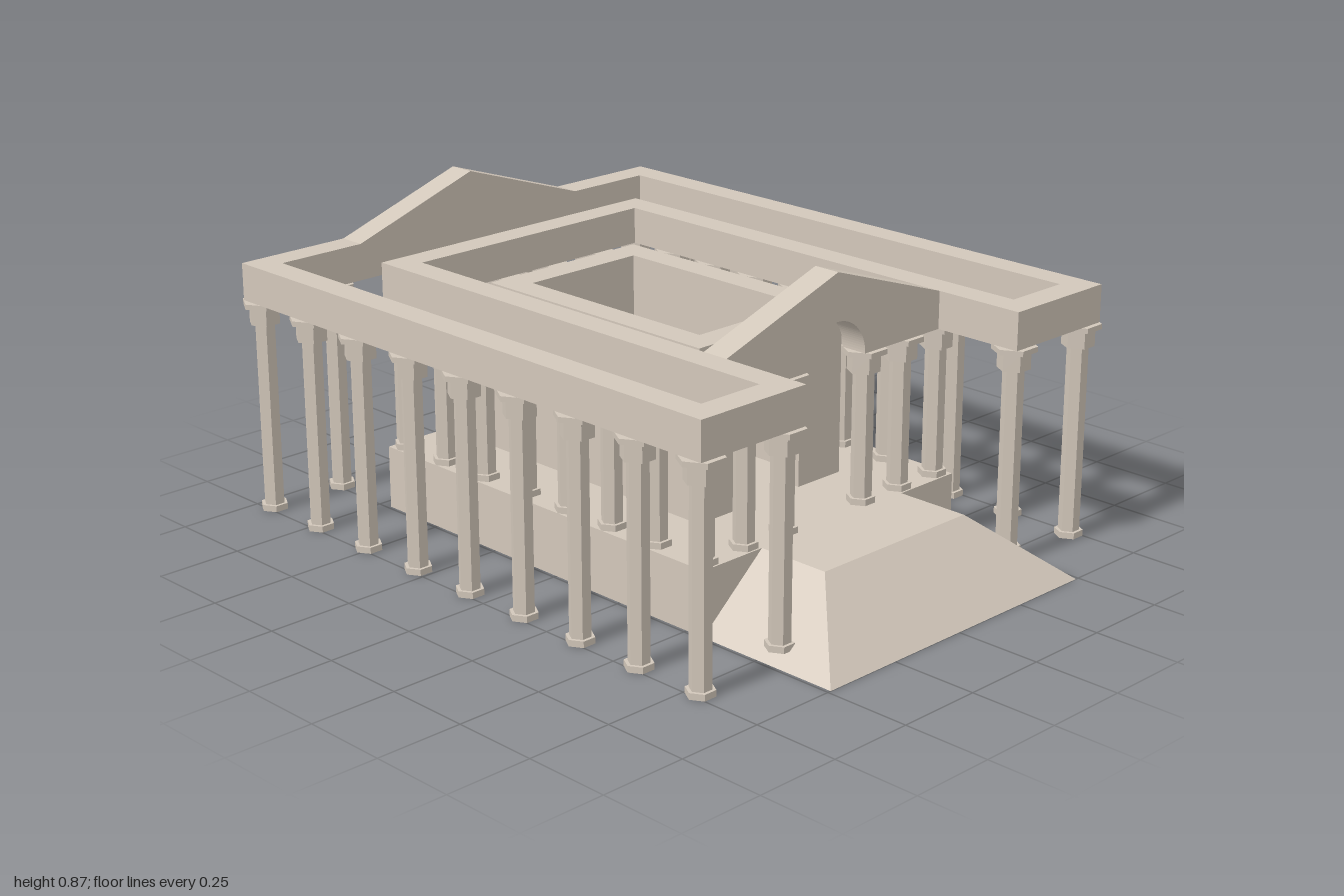
import * as THREE from 'three';
import { ConvexGeometry } from 'three/addons/geometries/ConvexGeometry.js';

const stone = new THREE.MeshStandardMaterial({ color: 0xd2c7ba, flatShading: true });
const FLOOR = 0.185, BEAM0 = 0.625, BEAM1 = 0.733;

export function createModel() {
  const model = new THREE.Group();
  model.name = 'temple';

  const add = (parent, name, geometry) => {
    const mesh = new THREE.Mesh(geometry, stone);
    mesh.name = name;
    parent.add(mesh);
    return mesh;
  };
  // Box given by its minimum and maximum on each axis
  const block = (name, x0, x1, y0, y1, z0, z1) =>
    add(model, name, new THREE.BoxGeometry(x1 - x0, y1 - y0, z1 - z0))
      .position.set((x0 + x1) / 2, (y0 + y1) / 2, (z0 + z1) / 2);
  // Upright slab: outline in x and y, extruded from z0 to z1
  const slab = (name, shape, z0, z1) =>
    add(model, name, new THREE.ExtrudeGeometry(shape, { depth: z1 - z0, bevelEnabled: false, curveSegments: 24 }))
      .position.z = z0;

  // Platform and hipped front ramp
  block('platform', -0.49, 0.49, 0, FLOOR, -0.71, 0.56);
  const rampPoints = [];
  for (const s of [-1, 1]) {
    rampPoints.push(
      new THREE.Vector3(s * 0.49, 0, 0.56), new THREE.Vector3(s * 0.49, 0, 1),
      new THREE.Vector3(s * 0.275, FLOOR, 0.56), new THREE.Vector3(s * 0.275, FLOOR, 0.78));
  }
  add(model, 'frontRamp', new ConvexGeometry(rampPoints));

  // Open-topped inner chamber with a doorway
  const wallTop = 0.675;
  block('chamberBackWall', -0.275, 0.275, FLOOR, wallTop, -0.495, -0.41);
  for (const s of [-1, 1]) {
    const [a, b] = [s * 0.195, s * 0.275].sort((p, q) => p - q);
    block('chamberSideWall', a, b, FLOOR, wallTop, -0.41, 0.25);
  }
  const doorWall = new THREE.Shape([
    [-0.275, FLOOR], [-0.11, FLOOR], [-0.11, 0.54], [0.11, 0.54],
    [0.11, FLOOR], [0.275, FLOOR], [0.275, wallTop], [-0.275, wallTop],
  ].map(p => new THREE.Vector2(...p)));
  slab('chamberFrontWall', doorWall, 0.25, 0.33);

  // Beams with a gable; the front one has an arch cut from its underside
  const gable = (halfWidth, arch) => {
    const s = new THREE.Shape();
    s.moveTo(-halfWidth, BEAM0);
    if (arch) {
      s.lineTo(-arch, BEAM0);
      s.absarc(0, BEAM0, arch, Math.PI, 0, true);
    }
    s.lineTo(halfWidth, BEAM0);
    s.lineTo(halfWidth, BEAM1);
    if (halfWidth > 0.415) s.lineTo(0.415, BEAM1);
    s.lineTo(0, 0.872);
    if (halfWidth > 0.415) s.lineTo(-0.415, BEAM1);
    s.lineTo(-halfWidth, BEAM1);
    s.closePath();
    return s;
  };
  slab('backGable', gable(0.77, 0), -0.98, -0.9);
  slab('frontGable', gable(0.41, 0.112), 0.48, 0.56);

  // Plain beams
  block('innerBackBeam', -0.41, 0.41, BEAM0, BEAM1, -0.71, -0.63);
  for (const s of [-1, 1]) {
    const beam = (name, a, b, z0, z1) =>
      block(name, Math.min(s * a, s * b), Math.max(s * a, s * b), BEAM0, BEAM1, z0, z1);
    beam('outerSideBeam', 0.69, 0.77, -0.9, 0.83);
    beam('innerSideBeam', 0.41, 0.49, -0.71, 0.83);
    beam('frontReturnBeam', 0.49, 0.69, 0.75, 0.83);
  }

  // Hexagonal column, corners pointing along x
  const column = (name, x, z, y0) => {
    const g = new THREE.Group();
    g.name = name;
    g.position.set(x, 0, z);
    const drum = (part, radius, a, b) => {
      const geometry = new THREE.CylinderGeometry(radius, radius, b - a, 6);
      geometry.rotateY(Math.PI / 2);
      add(g, part, geometry).position.y = (a + b) / 2;
    };
    drum('base', 0.04, y0, y0 + 0.018);
    drum('shaft', 0.03, y0 + 0.018, 0.56);
    drum('capital', 0.046, 0.56, 0.61);
    drum('abacus', 0.063, 0.61, BEAM0);
    model.add(g);
  };

  // Outer colonnade
  for (const x of [-0.487, -0.243, 0, 0.243, 0.487]) column('outerBackColumn', x, -0.942, 0);
  // Inner colonnade, back and front rows
  for (const x of [-0.277, -0.092, 0.092, 0.277]) column('innerBackColumn', x, -0.67, FLOOR);
  for (const x of [-0.302, -0.153, 0.153, 0.302]) column('porchColumn', x, 0.52, FLOOR);
  for (const s of [-1, 1]) {
    for (let i = 0; i < 9; i++) column('outerSideColumn', s * 0.73, -0.942 + i * 0.2165, 0);
    for (let i = 0; i < 8; i++) column('innerSideColumn', s * 0.45, -0.67 + i * 0.17, FLOOR);
    column('rampColumn', s * 0.45, 0.79, 0.035);
  }
  return model;
}
